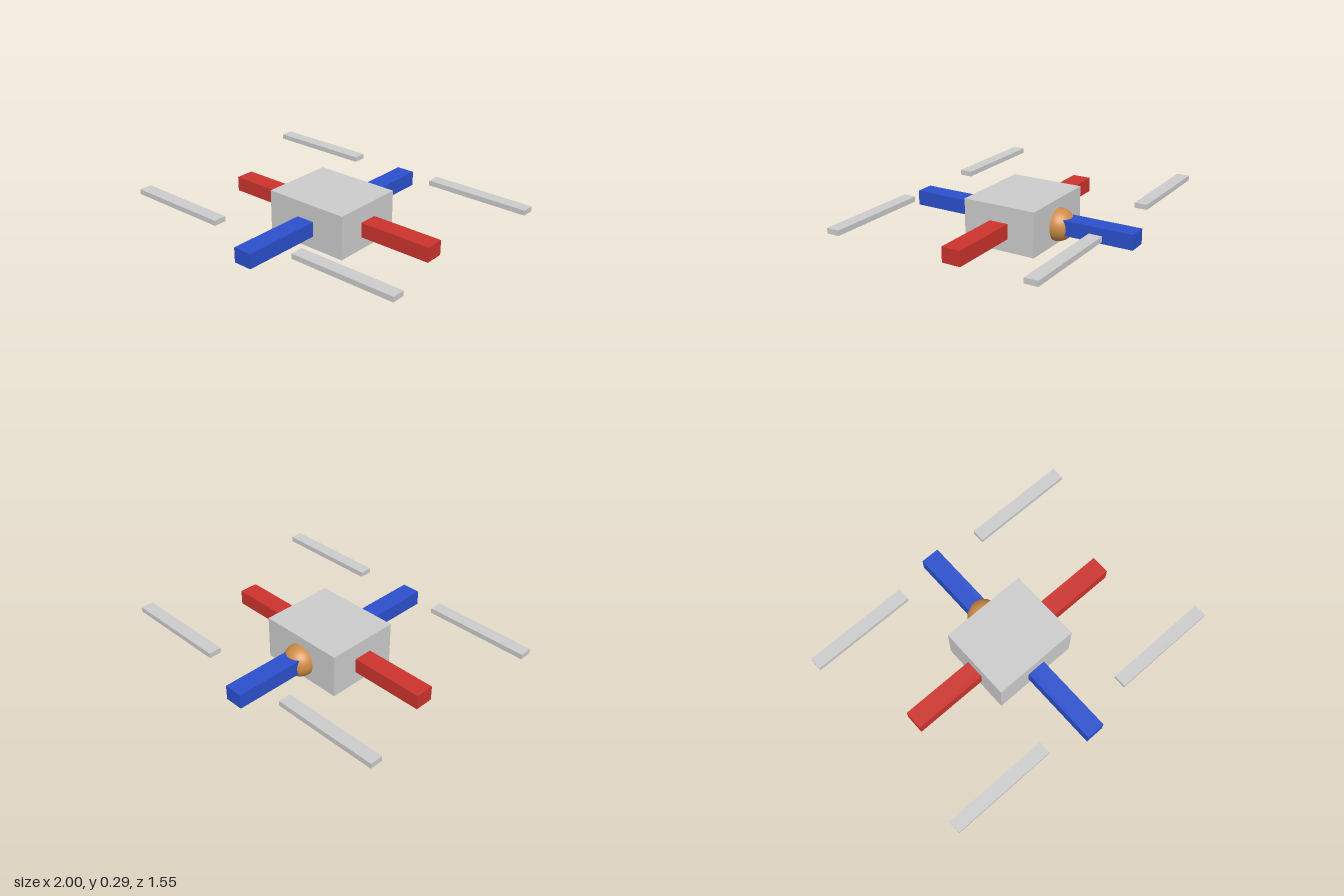
import * as THREE from 'three';

export function createModel() {
  const model = new THREE.Group();
  model.name = 'quadcopter';

  const material = (name, color) => {
    const m = new THREE.MeshStandardMaterial({ color });
    m.name = name;
    return m;
  };
  const grey = material('light grey', 0xcccccc);
  const red = material('red', 0xcc332d);
  const blue = material('blue', 0x2b50cc);
  const orange = material('orange', 0xd08c47);

  const add = (name, geometry, mat, x, y, z) => {
    const mesh = new THREE.Mesh(geometry, mat);
    mesh.name = name;
    mesh.position.set(x, y, z);
    model.add(mesh);
  };

  // Central body
  add('body', new THREE.BoxGeometry(0.574, 0.287, 0.488), grey, 0, 0.1435, 0);

  // Crossed arms running through the body
  add('sideArms', new THREE.BoxGeometry(1.547, 0.097, 0.124), red, 0, 0.132, 0);
  add('frontBackArms', new THREE.BoxGeometry(0.124, 0.097, 1.547), blue, 0, 0.132, 0);

  // Round camera half sunk into the back of the body
  add('camera', new THREE.SphereGeometry(0.104, 32, 24), orange, 0, 0.125, -0.25);

  // Four floating rotor blades
  const blade = new THREE.BoxGeometry(0.694, 0.033, 0.083);
  for (const [side, x] of [['left', 1], ['right', -1]]) {
    for (const [end, z] of [['Front', 1], ['Back', -1]]) {
      add(`${side}${end}Rotor`, blade, grey, x * 0.653, 0.222, z * 0.652);
    }
  }

  return model;
}
